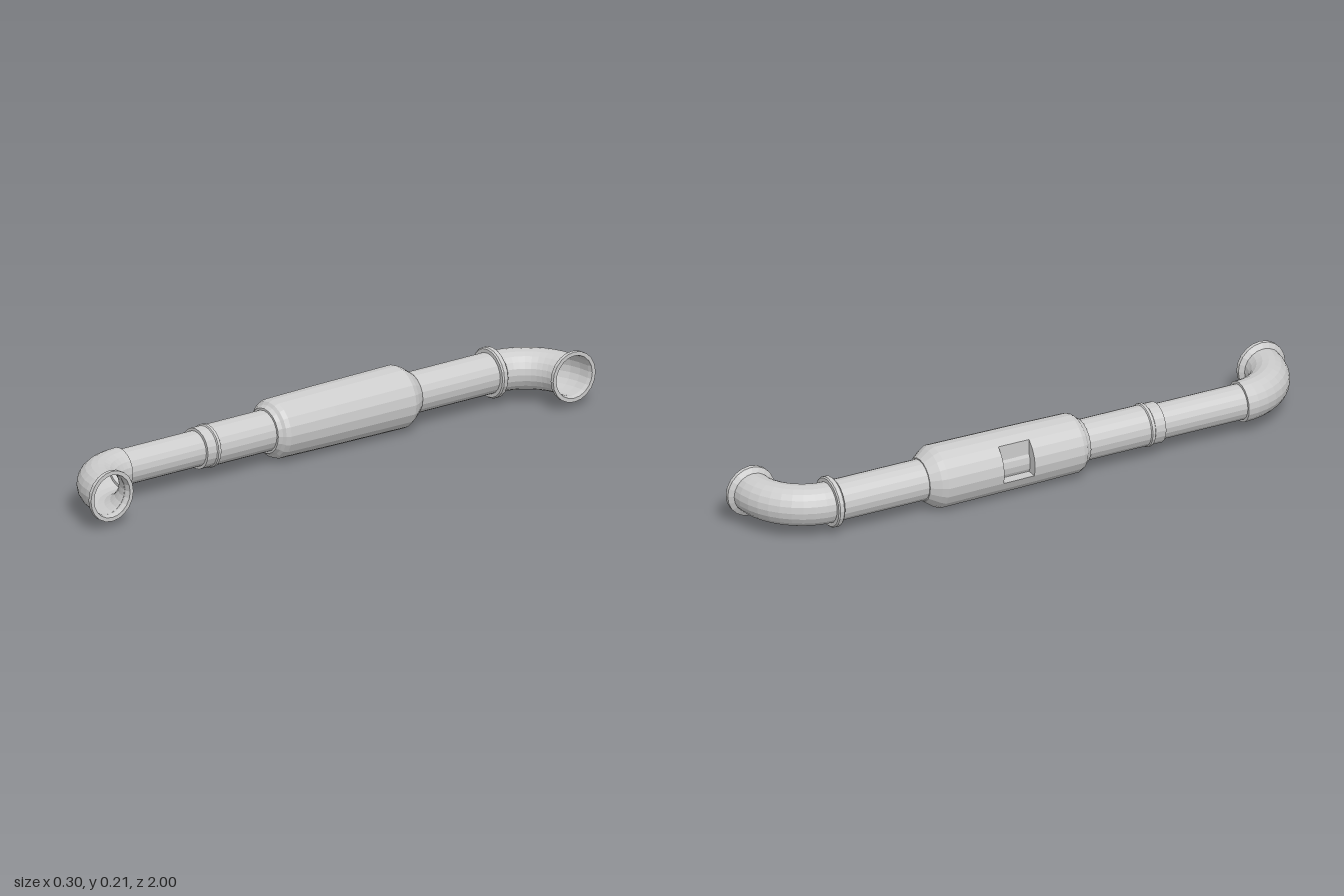
import * as THREE from 'three';

const SIDES = 20;
const AXIS_X = -0.047, AXIS_Y = 0.105;   // centre line of the straight run
const BEND = 0.18, PIPE = 0.067, END_Z = 0.915, BEND_Z = END_Z - BEND;

const material = new THREE.MeshStandardMaterial({
  color: 0xcccccc, flatShading: true, side: THREE.DoubleSide,
});

function addMesh(parent, name, geometry, x, y, z) {
  const mesh = new THREE.Mesh(geometry, material);
  mesh.name = name;
  mesh.position.set(x, y, z);
  parent.add(mesh);
  return mesh;
}

// Profile of [radius, position] pairs turned around the y axis
function turned(profile) {
  return new THREE.LatheGeometry(profile.map(([r, p]) => new THREE.Vector2(r, p)), SIDES);
}
const alongZ = (profile) => turned(profile).rotateX(Math.PI / 2);
const alongX = (profile) => turned(profile).rotateZ(-Math.PI / 2);

// Faceted shell lofted through rings of [z, radius, notched]
function silencerGeometry() {
  const rings = [
    [-0.41, 0.067], [-0.41, 0.071], [-0.378, 0.094], [-0.36, 0.103],
    [-0.16, 0.101], [-0.16, 0.101, true],
    [-0.05, 0.100, true], [-0.05, 0.100],
    [0.13, 0.097], [0.145, 0.091], [0.152, 0.082], [0.165, 0.074], [0.165, 0.067],
  ];
  const first = 7, last = 11;            // corners where the notch meets the shell
  const positions = [], index = [];
  for (const [z, r, notched] of rings) {
    for (let i = 0; i < SIDES; i++) {
      const a = (i / SIDES) * Math.PI * 2;
      let x = r * Math.cos(a), y = r * Math.sin(a);
      if (notched && i > first && i < last) {
        // inner corner: upright back wall over a flat ledge
        x = r * Math.cos((first / SIDES) * Math.PI * 2);
        y = r * Math.sin((last / SIDES) * Math.PI * 2);
      }
      positions.push(x, y, z);
    }
  }
  for (let k = 0; k < rings.length - 1; k++) {
    for (let i = 0; i < SIDES; i++) {
      const j = (i + 1) % SIDES;
      const a = k * SIDES + i, b = k * SIDES + j;
      index.push(a, b, b + SIDES, a, b + SIDES, a + SIDES);
    }
  }
  const geometry = new THREE.BufferGeometry();
  geometry.setAttribute('position', new THREE.Float32BufferAttribute(positions, 3));
  geometry.setIndex(index);
  geometry.computeVertexNormals();
  return geometry;
}

export function createModel() {
  const model = new THREE.Group();
  model.name = 'exhaustPipe';

  // Straight run
  addMesh(model, 'mainPipe', alongZ([[PIPE, -BEND_Z], [PIPE, 0.39]]), AXIS_X, AXIS_Y, 0);
  addMesh(model, 'slipJoint', alongZ([
    [PIPE, 0.385], [0.071, 0.388], [0.071, 0.398], [PIPE, 0.401],
    [PIPE, 0.438], [0.058, 0.438],
  ]), AXIS_X, AXIS_Y, 0);
  addMesh(model, 'frontPipe', alongZ([
    [0.058, 0.435], [0.058, BEND_Z], [PIPE, BEND_Z],
  ]), AXIS_X, AXIS_Y, 0);
  addMesh(model, 'rearCollar', alongZ([
    [PIPE, -0.742], [0.079, -0.742], [0.083, -0.738],
    [0.083, -0.724], [0.079, -0.719], [PIPE, -0.719],
  ]), AXIS_X, AXIS_Y, 0);

  // Silencer with the notch on its outer side
  addMesh(model, 'silencer', silencerGeometry(), AXIS_X, AXIS_Y, 0);

  // Elbow and flared flange at each end
  for (const side of [1, -1]) {
    const end = new THREE.Group();
    end.name = side > 0 ? 'frontEnd' : 'rearEnd';
    model.add(end);
    const elbow = new THREE.TorusGeometry(BEND, PIPE, SIDES, 10, Math.PI / 2)
      .rotateZ(side > 0 ? Math.PI / 2 : Math.PI)
      .rotateX(Math.PI / 2);
    addMesh(end, 'elbow', elbow, AXIS_X + BEND, AXIS_Y, side * BEND_Z);
    addMesh(end, 'flange', alongX([
      [PIPE, 0.124], [0.084, 0.135], [0.084, 0.148], [0.071, 0.148], [PIPE, 0.132],
    ]), 0, AXIS_Y, side * END_Z);
  }
  return model;
}
